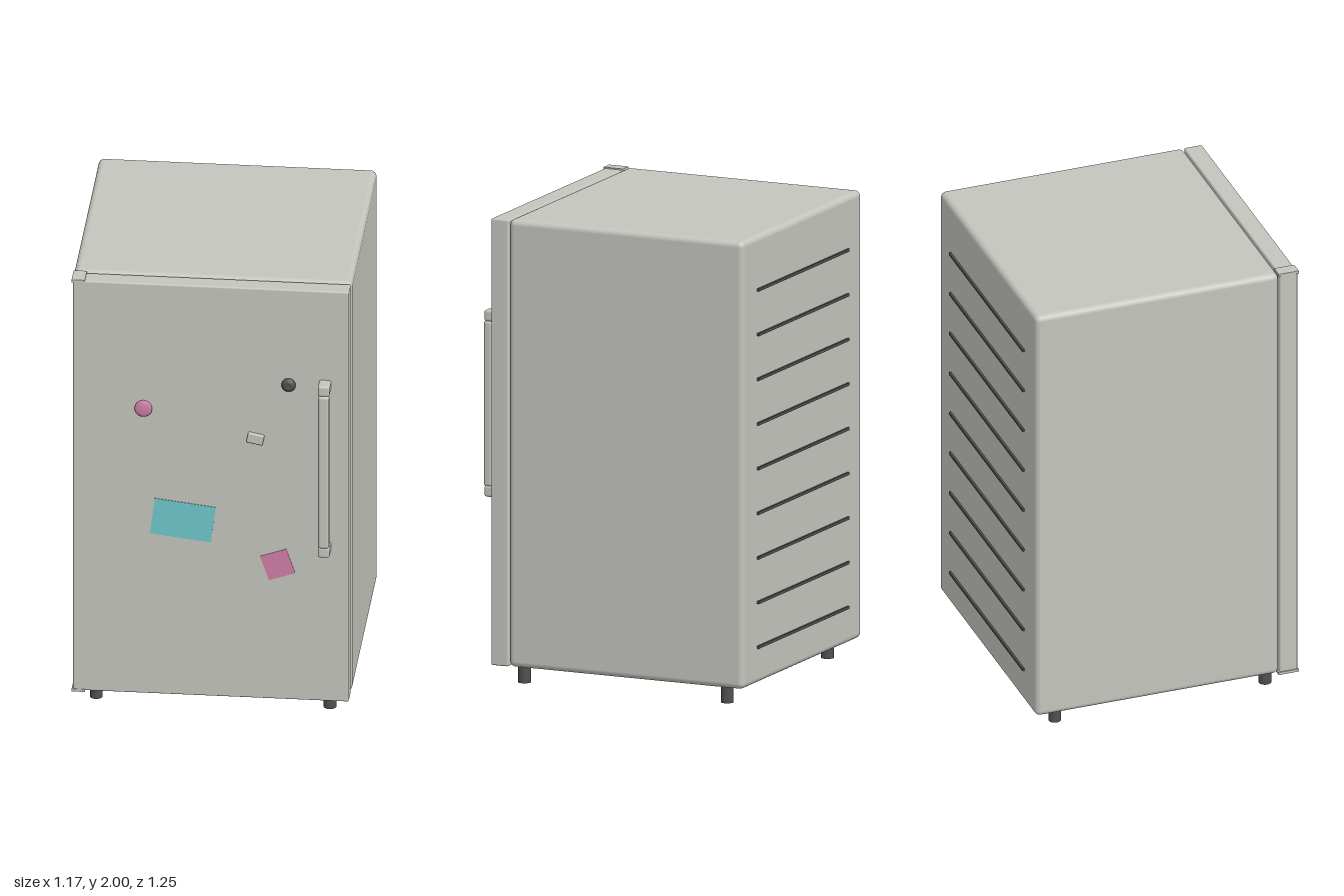
import * as THREE from 'three';
import { RoundedBoxGeometry } from 'three/addons/geometries/RoundedBoxGeometry.js';

export function createModel() {
  const fridge = new THREE.Group();
  fridge.name = 'fridge';

  const material = (name, color) => {
    const m = new THREE.MeshStandardMaterial({ color });
    m.name = name;
    return m;
  };
  const enamel = material('warm grey enamel', 0xc5c5bf);
  const dark = material('dark plastic', 0x505050);
  const pink = material('pink', 0xd07ea6);
  const teal = material('teal paper', 0x70c8cd);

  const add = (name, geometry, mat, x, y, z) => {
    const mesh = new THREE.Mesh(geometry, mat);
    mesh.name = name;
    mesh.position.set(x, y, z);
    fridge.add(mesh);
    return mesh;
  };
  // Rounded box given by its min and max corners
  const block = (name, mat, [x0, y0, z0], [x1, y1, z1], r) =>
    add(name, new RoundedBoxGeometry(x1 - x0, y1 - y0, z1 - z0, 4, r), mat,
      (x0 + x1) / 2, (y0 + y1) / 2, (z0 + z1) / 2);

  // Cabinet and door
  block('cabinet', enamel, [-0.587, 0.08, -0.617], [0.584, 1.999, 0.47], 0.025);
  block('door', enamel, [-0.583, 0.08, 0.474], [0.58, 1.995, 0.554], 0.007);
  add('doorSeal', new THREE.BoxGeometry(1.1, 1.85, 0.012), enamel, 0, 1.04, 0.472);

  // Hinge plates above and below the door
  for (const [name, y] of [['topHinge', 1.994], ['bottomHinge', 0.081]]) {
    add(name, new THREE.BoxGeometry(0.056, 0.012, 0.09), enamel, -0.56, y, 0.512);
  }

  // Handle: two mounts and a bar
  block('handleBar', enamel, [0.457, 0.825, 0.588], [0.503, 1.535, 0.627], 0.012);
  block('handleTopMount', enamel, [0.455, 1.534, 0.55], [0.505, 1.582, 0.622], 0.01);
  block('handleBottomMount', enamel, [0.455, 0.781, 0.55], [0.505, 0.829, 0.622], 0.01);

  // Feet
  for (const x of [-0.495, 0.49]) {
    for (const z of [-0.5, 0.44]) {
      add('foot', new THREE.CylinderGeometry(0.027, 0.027, 0.09, 20), dark, x, 0.045, z);
    }
  }

  // Back vent strips
  for (let i = 0; i < 9; i++) {
    add('ventStrip', new THREE.BoxGeometry(0.89, 0.012, 0.012), dark, 0, 0.237 + i * 0.1915, -0.62);
  }

  // Round magnets, turned about an axis that points forward
  const magnet = (name, mat, profile, x, y) => {
    const points = profile.map(([r, h]) => new THREE.Vector2(r, h));
    add(name, new THREE.LatheGeometry(points, 28), mat, x, y, 0.554).rotation.x = Math.PI / 2;
  };
  magnet('pinkMagnet', pink,
    [[0.034, 0], [0.037, 0.004], [0.037, 0.01], [0.033, 0.015], [0.02, 0.018], [0, 0.019]], -0.285, 1.415);
  magnet('darkMagnet', dark,
    [[0.024, 0], [0.03, 0.006], [0.03, 0.012], [0.018, 0.023], [0.014, 0.023], [0, 0.021]], 0.327, 1.555);
  const small = block('smallMagnet', enamel, [0.152, 1.274, 0.552], [0.222, 1.32, 0.571], 0.006);
  small.rotation.z = -0.2;

  // Paper notes
  const note = (name, mat, w, h, x, y, angle) => {
    add(name, new THREE.BoxGeometry(w, h, 0.003), mat, x, y, 0.555).rotation.z = angle;
  };
  note('tealNote', teal, 0.259, 0.166, -0.119, 0.897, -0.12);
  note('pinkNote', pink, 0.117, 0.117, 0.28, 0.709, 0.33);

  return fridge;
}
